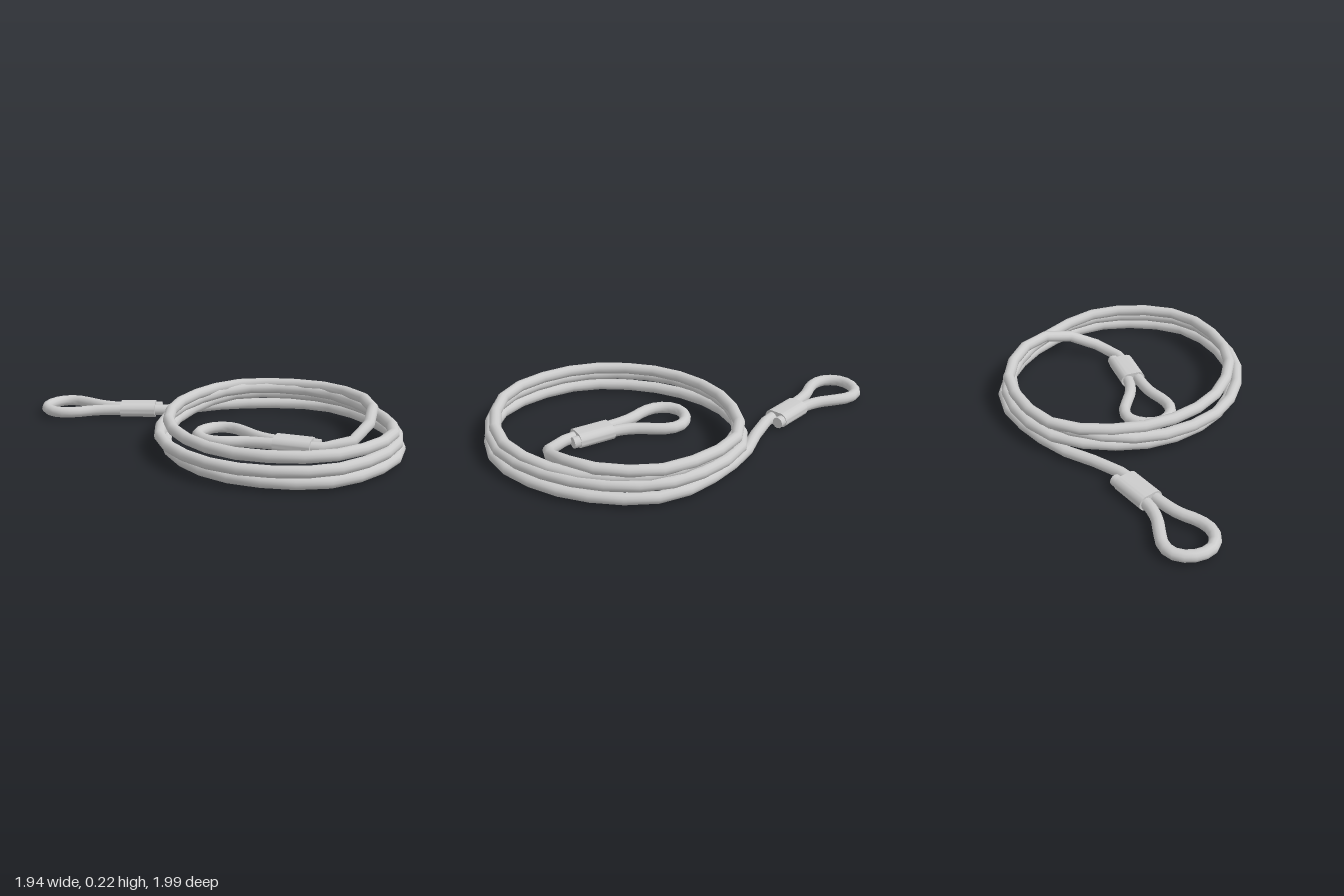
import * as THREE from 'three';
import { toCreasedNormals } from 'three/addons/utils/BufferGeometryUtils.js';

const R = 0.034;      // cable radius
const BASE = 0.045;   // centre height of the parts lying on the floor
const material = new THREE.MeshStandardMaterial({ color: 0xcccccc });

function add(parent, name, geometry) {
  const mesh = new THREE.Mesh(geometry, material);
  mesh.name = name;
  parent.add(mesh);
  return mesh;
}

function tube(points, segments) {
  const curve = new THREE.CatmullRomCurve3(points.map(p => new THREE.Vector3(...p)));
  return new THREE.TubeGeometry(curve, segments, R, 12, false);
}

// Eye loop closed by an oval crimp sleeve, with the cut cable end poking out
function cableEnd(name, x, z, angle) {
  const end = new THREE.Group();
  end.name = name;
  end.position.set(x, BASE, z);
  end.rotation.y = -angle;

  const eye = [
    [0.1, -0.037], [-0.124, -0.033], [-0.236, -0.065], [-0.345, -0.133], [-0.421, -0.172],
    [-0.496, -0.17], [-0.565, -0.111], [-0.59, -0.01], [-0.548, 0.065], [-0.482, 0.098],
    [-0.401, 0.096], [-0.271, 0.05], [-0.107, 0.033], [0, 0.035],
  ];
  add(end, 'eyeLoop', tube(eye.map(([u, v]) => [u, 0, v]), 28));

  const stub = add(end, 'cutEnd', new THREE.CylinderGeometry(R, R, 0.08, 12));
  stub.rotation.z = Math.PI / 2;
  stub.position.set(0.11, 0, -0.04);

  const oval = new THREE.Shape();
  oval.absarc(0.032, 0, 0.0445, -Math.PI / 2, Math.PI / 2);
  oval.absarc(-0.032, 0, 0.0445, Math.PI / 2, Math.PI * 1.5);
  const sleeve = new THREE.ExtrudeGeometry(oval, { depth: 0.22, bevelEnabled: false, curveSegments: 8 });
  sleeve.translate(0, 0, -0.11).rotateY(Math.PI / 2);
  add(end, 'crimpSleeve', toCreasedNormals(sleeve, 0.7));
  return end;
}

// Coiled cable: [radius, height] every eighth of a turn, beginning at the back
function coil() {
  const steps = [
    [0.75, 0.045], [0.74, 0.045], [0.69, 0.045], [0.73, 0.045],
    [0.76, 0.045], [0.70, 0.045], [0.65, 0.045], [0.67, 0.07],
    [0.75, 0.11], [0.72, 0.11], [0.67, 0.11], [0.72, 0.11],
    [0.76, 0.11], [0.72, 0.105], [0.69, 0.105], [0.68, 0.12],
    [0.71, 0.155], [0.69, 0.15], [0.645, 0.135], [0.695, 0.16],
    [0.72, 0.175], [0.67, 0.17], [0.63, 0.17], [0.65, 0.175],
    [0.73, 0.18], [0.70, 0.185],
  ];
  const turns = steps.map(([r, y], i) => {
    const a = -Math.PI / 2 + i * Math.PI / 4;
    return [0.24 + r * Math.cos(a), y, 0.2 + r * Math.sin(a)];
  });
  const lead = [[-0.4, BASE, -0.606], [-0.31, BASE, -0.575], [-0.17, BASE, -0.55], [0, BASE, -0.55]];
  const tail = [
    [0.87, 0.187, 0.08], [0.83, 0.175, 0.25], [0.73, 0.125, 0.39], [0.62, 0.075, 0.455],
    [0.5, 0.05, 0.47], [0.38, BASE, 0.425], [0.274, BASE, 0.361],
  ];
  return tube([...lead, ...turns, ...tail], 86);
}

export function createModel() {
  const model = new THREE.Group();
  model.name = 'coiledCable';
  add(model, 'cableCoil', coil());
  model.add(cableEnd('outerEnd', -0.389, -0.639, 0.34));
  model.add(cableEnd('innerEnd', 0.295, 0.333, 0.65));
  return model;
}
